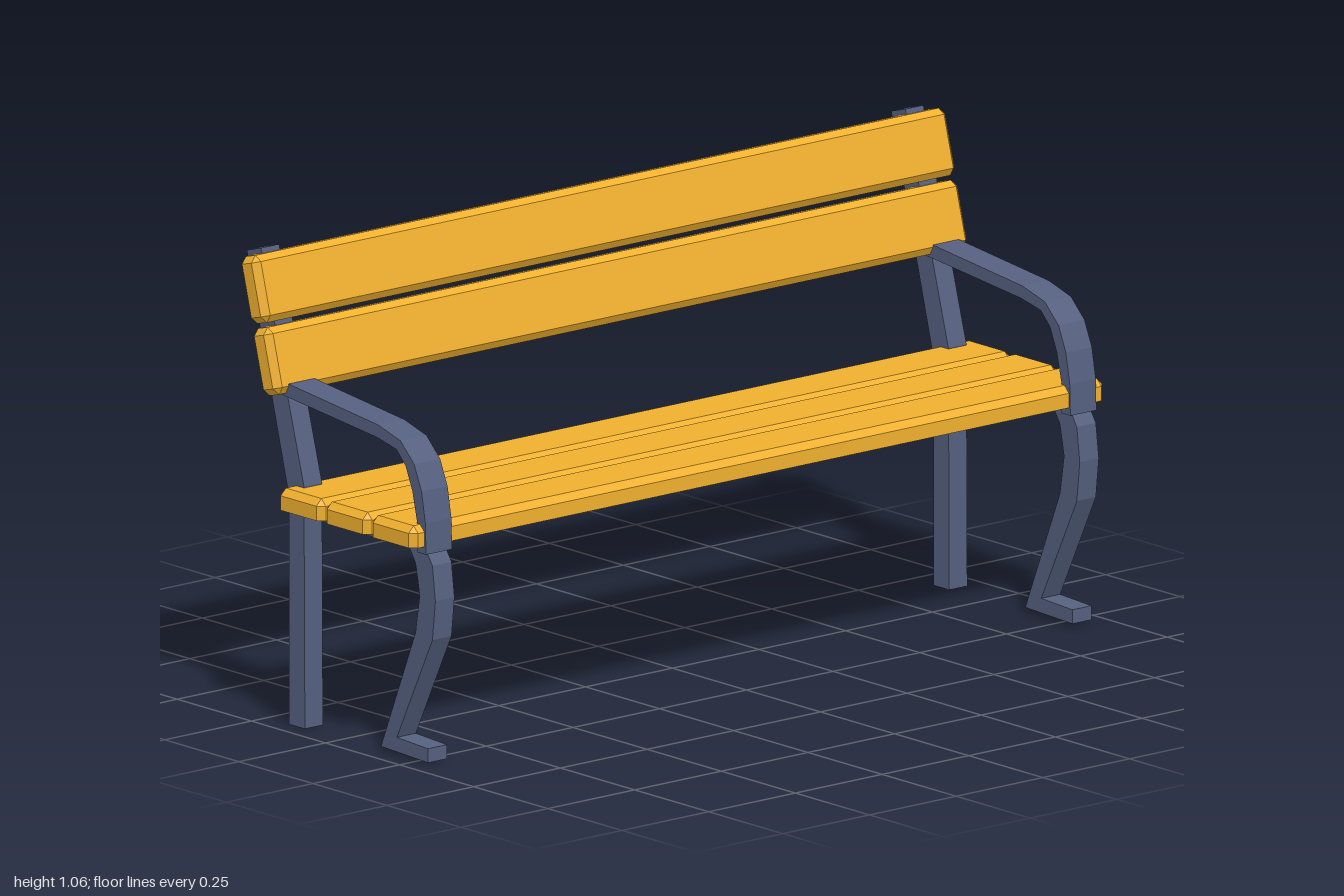
import * as THREE from 'three';

const wood = new THREE.MeshStandardMaterial({ color: 0xf0b02e, flatShading: true, side: THREE.DoubleSide });
const iron = new THREE.MeshStandardMaterial({ color: 0x55607f, flatShading: true });

const LENGTH = 2, WIDTH = 0.15, THICK = 0.063, BEVEL = 0.015;

// Outline of a board at one height: a rectangle with cut corners, counterclockwise from above
function outline(y, inset, cut) {
  const x = LENGTH / 2 - inset, z = WIDTH / 2 - inset;
  return [
    [x, z - cut], [x, cut - z], [x - cut, -z], [cut - x, -z],
    [-x, cut - z], [-x, z - cut], [cut - x, z], [x - cut, z],
  ].map(([px, pz]) => [px, y, pz]);
}

// Chamfered board; the seat boards are open shells without their lower chamfer
function boardGeometry(openBelow) {
  const h = THICK / 2;
  const rings = [outline(BEVEL - h, 0, BEVEL), outline(h - BEVEL, 0, BEVEL), outline(h, BEVEL, 0)];
  if (!openBelow) rings.unshift(outline(-h, BEVEL, 0));
  const pos = [];
  const tri = (...corners) => corners.forEach((p) => pos.push(...p));
  for (let i = 0; i < 8; i++) {
    const j = (i + 1) % 8;
    for (let r = 0; r < rings.length - 1; r++) {
      const lo = rings[r], up = rings[r + 1];
      tri(lo[i], lo[j], up[j]);
      tri(lo[i], up[j], up[i]);
    }
    const top = rings[rings.length - 1];
    tri([0, h, 0], top[i], top[j]);
    if (!openBelow) tri([0, -h, 0], rings[0][j], rings[0][i]);
  }
  const geo = new THREE.BufferGeometry();
  geo.setAttribute('position', new THREE.Float32BufferAttribute(pos, 3));
  geo.computeVertexNormals();
  return geo;
}

// Side profile given as [z, y] points, extruded to a width centred on x = 0
function profileGeometry(points, width) {
  const shape = new THREE.Shape(points.map(([z, y]) => new THREE.Vector2(z, y)));
  const geo = new THREE.ExtrudeGeometry(shape, { depth: width, bevelEnabled: false });
  return geo.translate(0, 0, -width / 2).rotateY(-Math.PI / 2);
}

function add(group, name, geo, mat, x, y, z) {
  const mesh = new THREE.Mesh(geo, mat);
  mesh.name = name;
  mesh.position.set(x, y, z);
  group.add(mesh);
  return mesh;
}

export function createModel() {
  const bench = new THREE.Group();
  bench.name = 'bench';

  // Seat boards
  const seatBoard = boardGeometry(true);
  [0.22, 0.065, -0.091].forEach((z, i) =>
    add(bench, `seatBoard${i + 1}`, seatBoard, wood, 0, 0.497 + THICK / 2 - BEVEL, z));

  // Backrest boards, leaning back
  const backBoard = boardGeometry(false);
  [['lowerBackBoard', 0.82, -0.209], ['upperBackBoard', 0.975, -0.25]].forEach(([name, y, z]) => {
    add(bench, name, backBoard, wood, 0, y, z).rotation.x = THREE.MathUtils.degToRad(74.7);
  });

  // Back post: upright leg and leaning support
  const post = profileGeometry([
    [-0.122, 0], [-0.175, 0], [-0.175, 0.514], [-0.318, 1.046], [-0.27, 1.06], [-0.125, 0.548],
  ], 0.052);

  // Curved front leg with its foot
  const leg = profileGeometry([
    [0.295, 0.006], [0.295, 0.038], [0.19, 0.043], [0.31, 0.287], [0.32, 0.377], [0.31, 0.455],
    [0.28, 0.5], [0.22, 0.5], [0.253, 0.45], [0.267, 0.38], [0.253, 0.293], [0.136, 0.012],
  ], 0.055);

  // Armrest sweeping from the seat front to the post
  const arm = profileGeometry([
    [0.3, 0.48], [0.298, 0.55], [0.285, 0.62], [0.26, 0.677], [0.214, 0.721], [0.139, 0.742],
    [-0.2, 0.779], [-0.2, 0.748], [0.136, 0.713], [0.2, 0.699], [0.231, 0.668], [0.254, 0.615],
    [0.27, 0.548], [0.27, 0.48],
  ], 0.075);

  for (const [side, s] of [['left', 1], ['right', -1]]) {
    const frame = new THREE.Group();
    frame.name = `${side}Frame`;
    frame.position.x = 0.929 * s;
    add(frame, `${side}BackPost`, post, iron, 0, 0, 0);
    add(frame, `${side}FrontLeg`, leg, iron, 0, 0, 0);
    add(frame, `${side}Armrest`, arm, iron, 0, 0, 0);
    bench.add(frame);
  }
  return bench;
}
